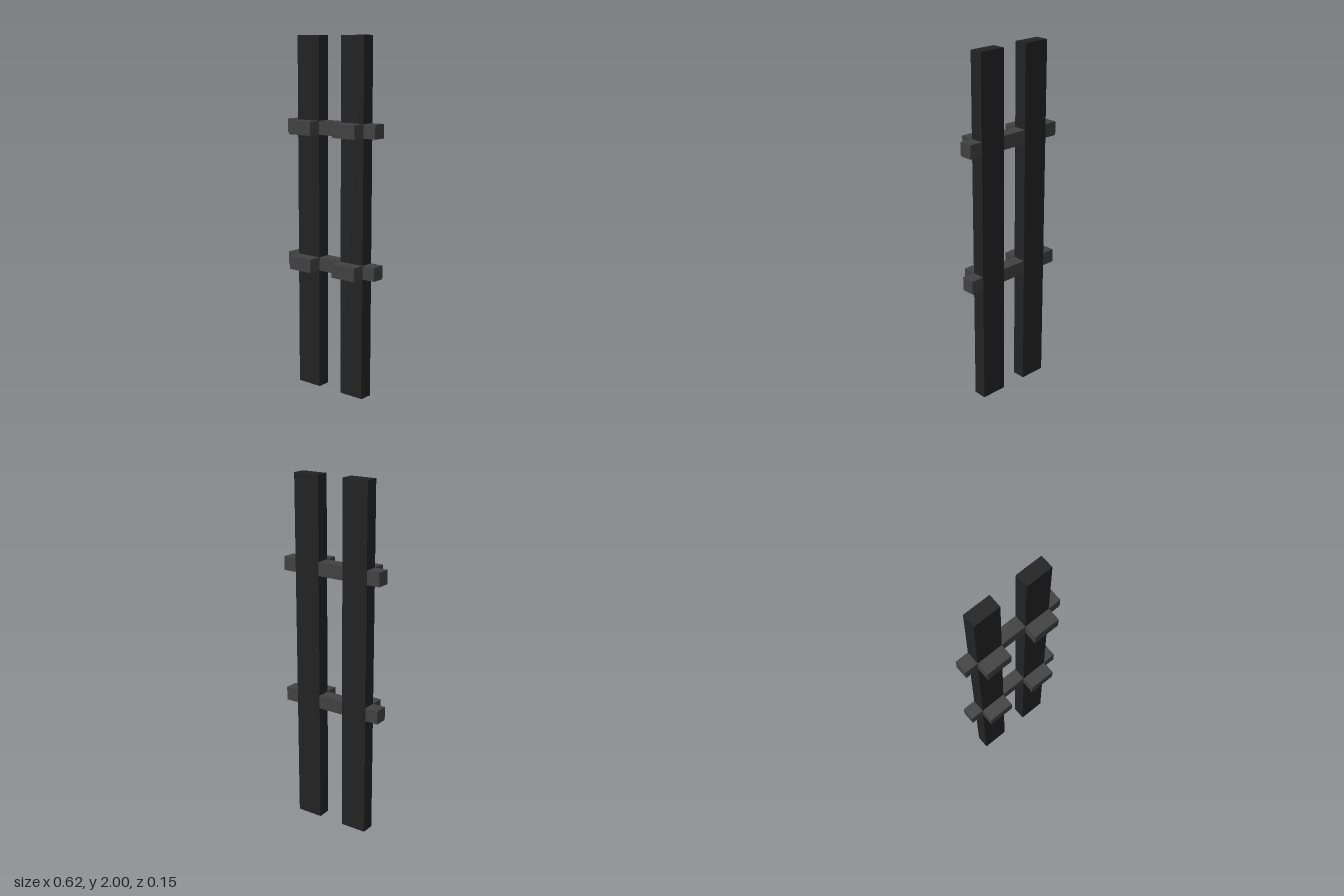
import * as THREE from 'three';

const U = 1 / 13; // module size: every part is a multiple of this

export function createModel() {
  const group = new THREE.Group();
  const postPaint = new THREE.MeshStandardMaterial({ color: 0x222222 });
  postPaint.name = 'near black';
  const railPaint = new THREE.MeshStandardMaterial({ color: 0x414141 });
  railPaint.name = 'dark grey';

  // Box from its size and centre, in modules
  function box(name, material, w, h, d, x, y, z) {
    const mesh = new THREE.Mesh(new THREE.BoxGeometry(w * U, h * U, d * U), material);
    mesh.name = name;
    mesh.position.set(x * U, y * U, z * U);
    group.add(mesh);
  }

  // Two tall flat posts
  for (const [side, s] of [['left', 1], ['right', -1]]) {
    box(side + 'Post', postPaint, 2, 26, 1, s * 2, 13, -0.5);
  }

  // Two crossbars flush with the posts, with a clamp block on each post's front
  for (const [level, y] of [['lower', 9.5], ['upper', 19.5]]) {
    box(level + 'Crossbar', railPaint, 2, 1, 1, 0, y, -0.5);
    for (const [side, s] of [['Left', 1], ['Right', -1]]) {
      box(level + side + 'CrossbarEnd', railPaint, 1, 1, 1, s * 3.5, y, -0.5);
      box(level + side + 'FrontBlock', railPaint, 2, 1, 1, s * 2, y, 0.5);
    }
  }
  return group;
}
